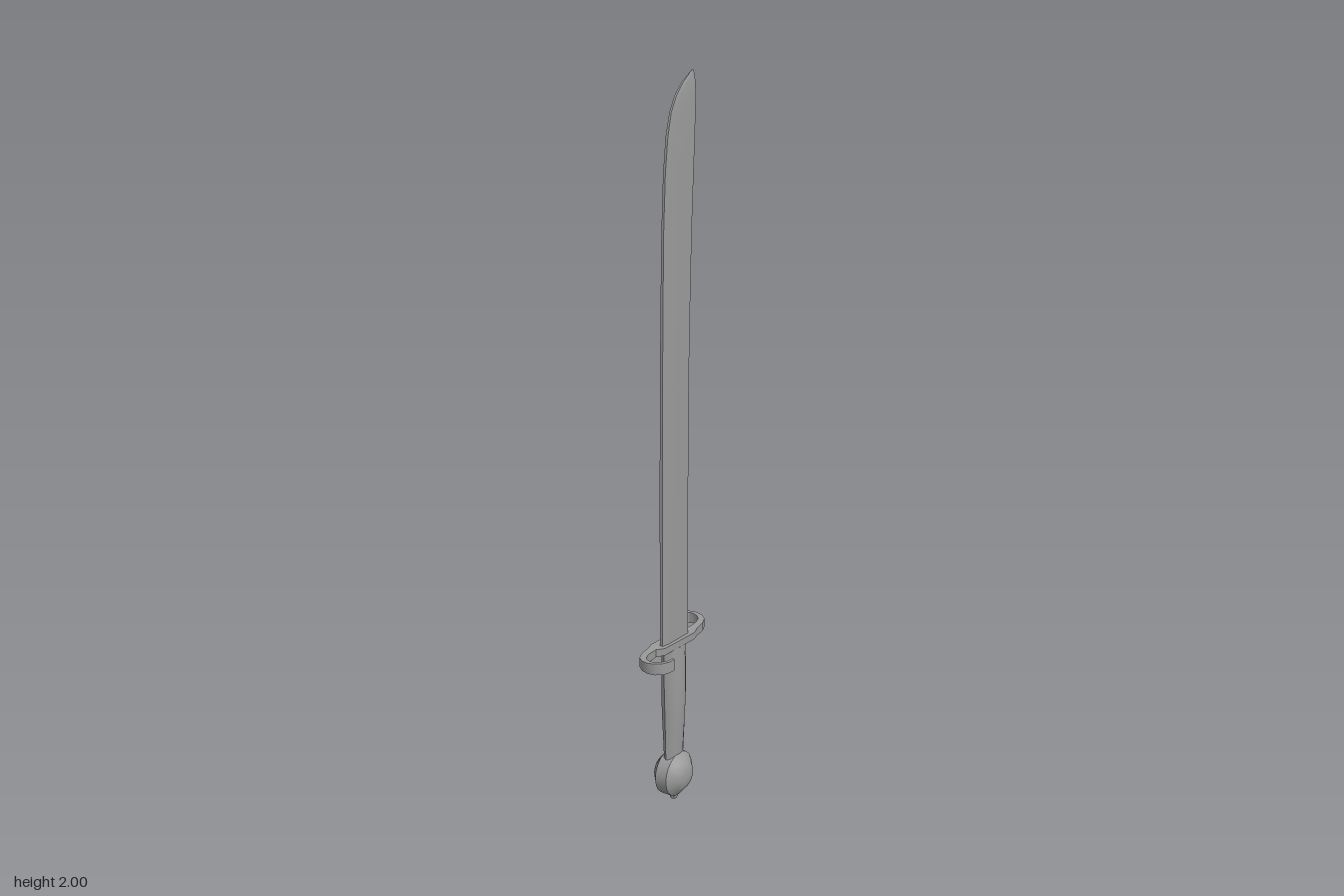
import * as THREE from 'three';
import { toCreasedNormals } from 'three/addons/utils/BufferGeometryUtils.js';

const material = new THREE.MeshStandardMaterial({ color: 0x9a9a9a });

// Skin a list of equal-sized rings (counter-clockwise about the travel direction), capped at both ends
function loft(rings, crease) {
  const n = rings[0].length, last = (rings.length - 1) * n, index = [];
  for (let i = 0; i < last; i += n) {
    for (let j = 0; j < n; j++) {
      const k = (j + 1) % n;
      index.push(i + j, i + k, i + n + k, i + j, i + n + k, i + n + j);
    }
  }
  for (let j = 1; j < n - 1; j++) index.push(0, j + 1, j, last, last + j, last + j + 1);
  const geometry = new THREE.BufferGeometry().setFromPoints(rings.flat());
  geometry.setIndex(index);
  return toCreasedNormals(geometry, crease);
}

function addMesh(parent, name, geometry) {
  const mesh = new THREE.Mesh(geometry, material);
  mesh.name = name;
  parent.add(mesh);
  return mesh;
}

// Curved single-edged blade, thinning towards the point: height, cutting edge z, spine z, half thickness
function bladeGeometry() {
  const stations = [
    [0.47, 0.062, -0.055, 0.009], [0.9, 0.062, -0.053, 0.009], [1.2, 0.06, -0.056, 0.008],
    [1.4, 0.057, -0.061, 0.008], [1.6, 0.053, -0.069, 0.007], [1.75, 0.045, -0.077, 0.007],
    [1.84, 0.034, -0.082, 0.007], [1.9, 0.018, -0.086, 0.006], [1.94, -0.005, -0.087, 0.006],
    [1.97, -0.034, -0.087, 0.005], [1.99, -0.063, -0.085, 0.003], [2, -0.078, -0.082, 0.001],
  ];
  const rings = stations.map(([y, edge, spine, t]) => {
    const mid = THREE.MathUtils.lerp(edge, spine, 0.2);
    return [[t * 0.5, edge], [t, mid], [t, spine], [-t, spine], [-t, mid], [-t * 0.5, edge]]
      .map(([x, z]) => new THREE.Vector3(x, y, z));
  });
  return loft(rings, 0.3);
}

// S-shaped guard: x, z, half width, half height for one arm; the other arm is its half-turn copy
function guardGeometry() {
  const arm = [
    [-0.073, -0.131, 0.004, 0.016], [-0.07, -0.152, 0.005, 0.016], [-0.06, -0.169, 0.006, 0.016],
    [-0.045, -0.179, 0.006, 0.016], [-0.028, -0.181, 0.007, 0.015], [-0.01, -0.174, 0.008, 0.014],
    [0.005, -0.158, 0.009, 0.013], [0.013, -0.132, 0.01, 0.012], [0.014, -0.092, 0.012, 0.011],
    [0.009, -0.068, 0.024, 0.01],
  ];
  const path = [...arm, ...arm.slice().reverse().map(([x, z, w, h]) => [-x, -z, w, h])];
  const rings = path.map(([x, z, w, h], i) => {
    const a = path[Math.max(i - 1, 0)], b = path[Math.min(i + 1, path.length - 1)];
    const d = Math.hypot(b[0] - a[0], b[1] - a[1]);
    const nx = (b[1] - a[1]) / d, nz = -(b[0] - a[0]) / d;
    return [[1, -1], [1, 1], [-1, 1], [-1, -1]].map(([s, u]) =>
      new THREE.Vector3(x + nx * w * s, 0.477 + h * u, z + nz * w * s));
  });
  return loft(rings, 0.5);
}

// Swelling oval grip: height, half thickness x, half width z
function gripGeometry() {
  const stations = [
    [0.12, 0.019, 0.038], [0.18, 0.022, 0.04], [0.25, 0.027, 0.042],
    [0.32, 0.029, 0.045], [0.4, 0.027, 0.047], [0.468, 0.023, 0.047],
  ];
  const rings = stations.map(([y, rx, rz]) => Array.from({ length: 12 }, (_, i) => {
    const a = (i / 12) * Math.PI * 2;
    return new THREE.Vector3(Math.sin(a) * rx, y, Math.cos(a) * rz);
  }));
  return loft(rings, 0.7);
}

export function createModel() {
  const sword = new THREE.Group();
  sword.name = 'sword';

  addMesh(sword, 'guard', guardGeometry());

  // Blade, grip and pommel are turned slightly about the vertical
  const core = new THREE.Group();
  core.name = 'bladeAndHilt';
  core.rotation.y = -0.1;
  core.position.x = 0.002;
  sword.add(core);

  addMesh(core, 'blade', bladeGeometry()).position.x = 0.002;
  addMesh(core, 'grip', gripGeometry());

  // Wheel pommel with a flat rim and a smooth dome on both sides
  const half = [[0, 0.048], [0.02, 0.047], [0.036, 0.042], [0.05, 0.03], [0.06, 0.022], [0.065, 0.018]];
  const profile = [...half.map(([r, h]) => [r, -h]), ...half.slice().reverse()]
    .map(([r, h]) => new THREE.Vector2(r, h));
  const pommel = new THREE.LatheGeometry(profile, 20).rotateZ(-Math.PI / 2);
  addMesh(core, 'pommel', toCreasedNormals(pommel, 0.7)).position.y = 0.08;

  // Small rivet under the pommel
  const rivet = new THREE.CylinderGeometry(0.016, 0.01, 0.025, 10);
  addMesh(core, 'pommelRivet', toCreasedNormals(rivet, 0.7)).position.y = 0.0125;

  return sword;
}
